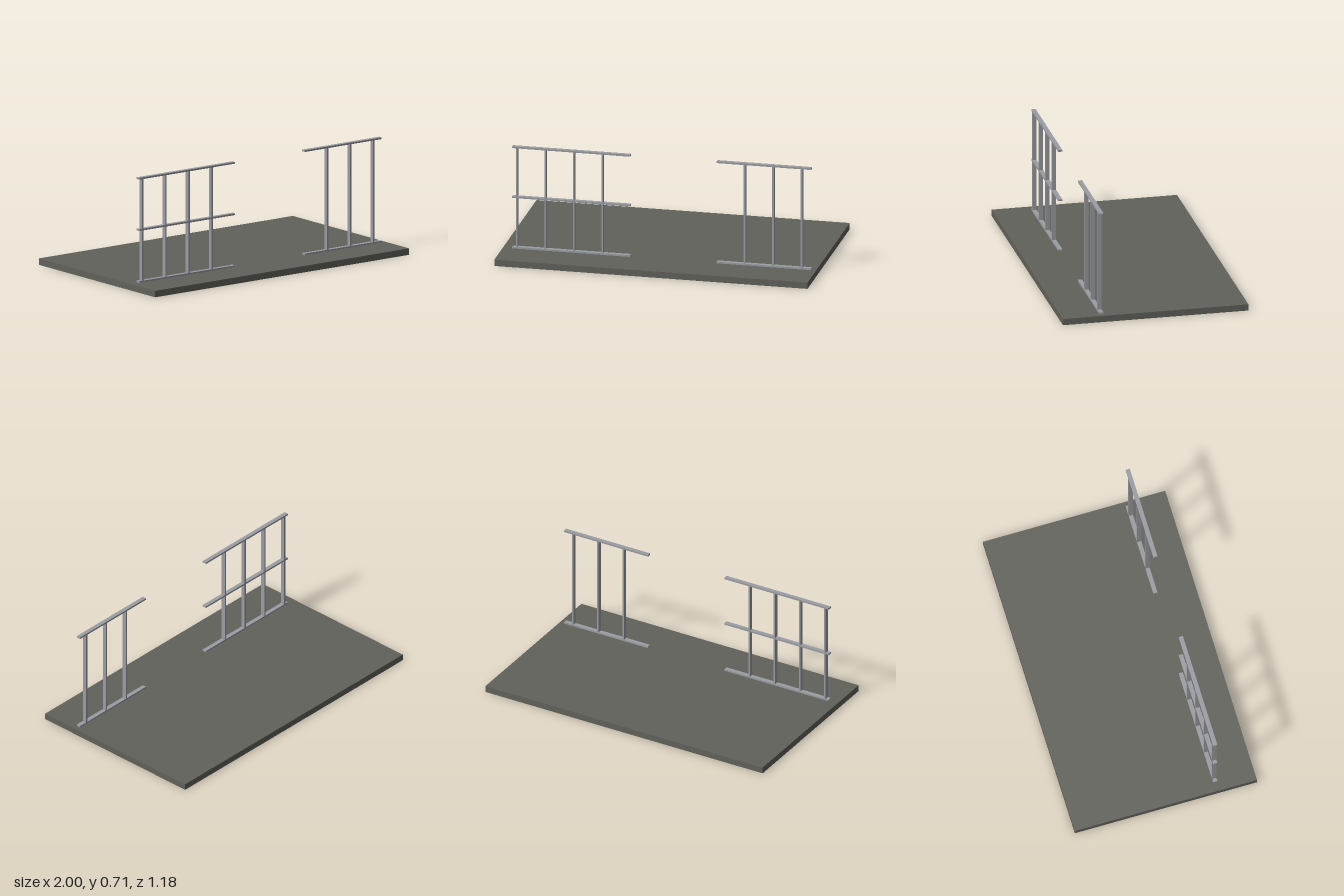
import * as THREE from 'three';

export function createModel() {
  const model = new THREE.Group();
  const concrete = new THREE.MeshStandardMaterial({ color: 0x62625c });
  concrete.name = 'dark concrete';
  const steel = new THREE.MeshStandardMaterial({ color: 0x9a9da3 });
  steel.name = 'grey steel';

  const floorTop = 0.041, frameTop = 0.711;
  const thick = 0.011, depth = 0.027, frameZ = 0.339;

  // Box given by its extents in x and y, centred on z
  function box(name, parent, material, x0, x1, y0, y1, z, d) {
    const mesh = new THREE.Mesh(new THREE.BoxGeometry(x1 - x0, y1 - y0, d), material);
    mesh.position.set((x0 + x1) / 2, (y0 + y1) / 2, z);
    mesh.name = name;
    parent.add(mesh);
  }

  // Stud wall frame: horizontal rails joined by evenly spaced posts
  function frame(name, x0, x1, posts, middleRail) {
    const group = new THREE.Group();
    group.name = name;
    const rail = (part, y) => box(part, group, steel, x0, x1, y, y + thick, frameZ, depth);
    rail('bottomRail', floorTop);
    rail('topRail', frameTop - thick);
    if (middleRail) rail('middleRail', 0.378 - thick / 2);
    for (const x of posts) {
      box('post', group, steel, x - thick / 2, x + thick / 2,
        floorTop + thick, frameTop - thick, frameZ, depth);
    }
    model.add(group);
  }

  // Floor slab
  box('floorSlab', model, concrete, -1, 1, 0, floorTop, 0, 1.184);

  // Two frames with an opening between them
  const spacing = 0.182;
  frame('rightFrame', -0.94, -0.187, [0, 1, 2, 3].map(i => -0.912 + i * spacing), true);
  frame('leftFrame', 0.364, 0.969, [0, 1, 2].map(i => 0.543 + i * spacing), false);

  return model;
}
